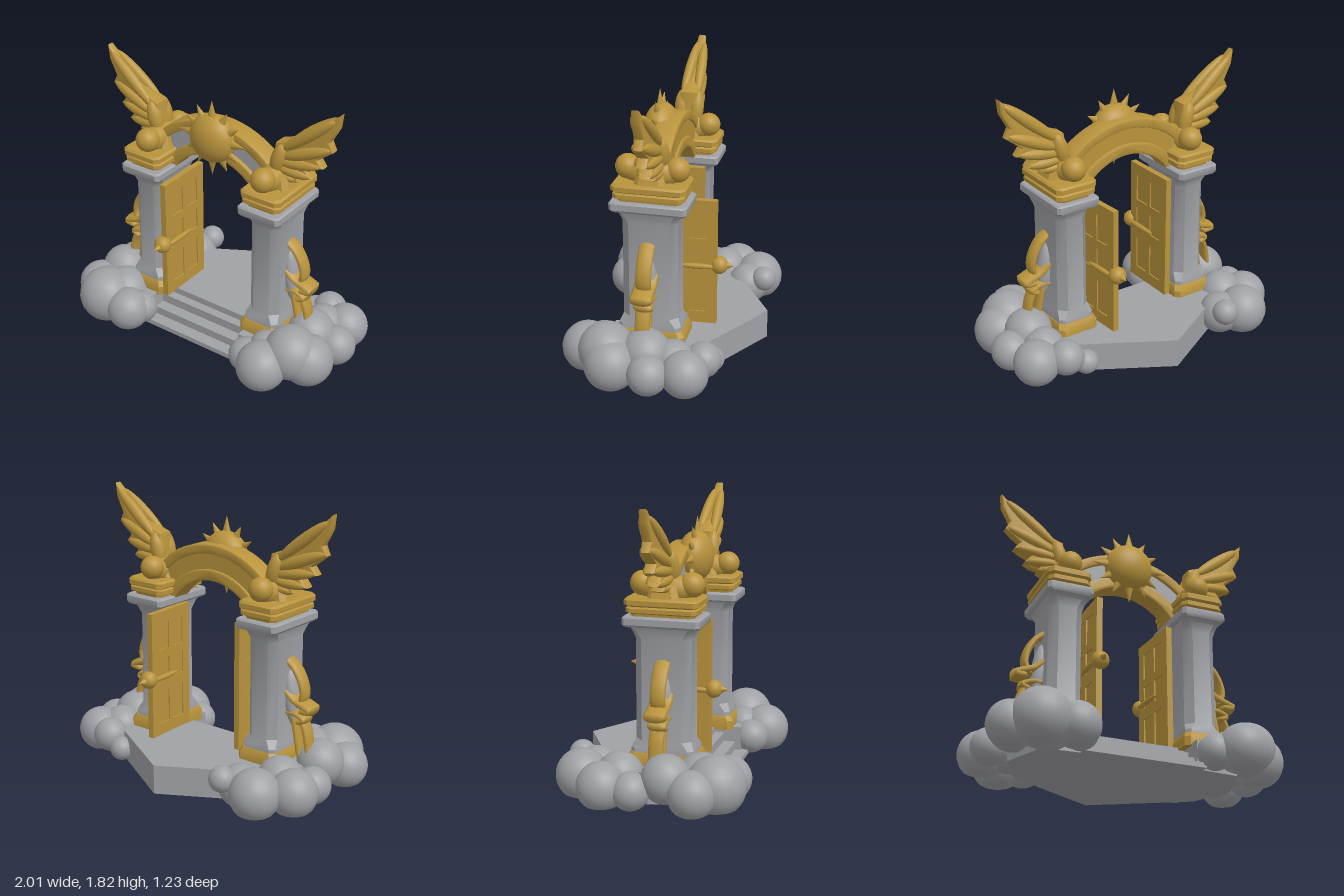
import * as THREE from 'three';
import { toCreasedNormals } from 'three/addons/utils/BufferGeometryUtils.js';

const stone = new THREE.MeshStandardMaterial({ color: 0xa0a1a5 });
stone.name = 'stone grey';
const gold = new THREE.MeshStandardMaterial({ color: 0xb8933c });
gold.name = 'gold';

const CX = -0.02; // mirror axis of the gate

function add(parent, name, geo, mat, x = 0, y = 0, z = 0) {
  const m = new THREE.Mesh(geo, mat);
  m.name = name;
  m.position.set(x, y, z);
  parent.add(m);
  return m;
}

// Stack of chamfered rectangles; each ring is [halfWidth, halfDepth, y, chamfer]
function stack(rings) {
  const pos = [], idx = [], n = 8;
  for (const [w, d, y, c] of rings) {
    for (const [x, z] of [[w, d - c], [w, c - d], [w - c, -d], [c - w, -d], [-w, c - d], [-w, d - c], [c - w, d], [w - c, d]]) pos.push(x, y, z);
  }
  for (let r = 0; r < rings.length - 1; r++) {
    for (let i = 0; i < n; i++) {
      const a = r * n + i, b = r * n + (i + 1) % n;
      idx.push(a, b, b + n, a, b + n, a + n);
    }
  }
  const t = (rings.length - 1) * n;
  for (let i = 1; i < n - 1; i++) idx.push(0, i + 1, i, t, t + i, t + i + 1);
  const g = new THREE.BufferGeometry();
  g.setAttribute('position', new THREE.Float32BufferAttribute(pos, 3));
  g.setIndex(idx);
  return toCreasedNormals(g, 0.6);
}

// Ellipsoid stretched between two points
function blob(parent, name, mat, a, b, rx, rz) {
  const A = new THREE.Vector3(...a), B = new THREE.Vector3(...b);
  const mid = A.clone().add(B).multiplyScalar(0.5), dir = B.clone().sub(A);
  const m = add(parent, name, new THREE.SphereGeometry(1, 16, 12), mat, mid.x, mid.y, mid.z);
  m.scale.set(rx, dir.length() / 2, rz);
  m.quaternion.setFromUnitVectors(new THREE.Vector3(0, 1, 0), dir.normalize());
  return m;
}

// Ring sector for the arch, centred on the origin
function sector(r0, r1, a0, depth, bevel) {
  const s = new THREE.Shape();
  s.absarc(0, 0, r1, a0, Math.PI - a0, false);
  s.absarc(0, 0, r0, Math.PI - a0, a0, true);
  return toCreasedNormals(new THREE.ExtrudeGeometry(s, {
    depth, curveSegments: 36, bevelEnabled: bevel > 0, bevelSize: bevel, bevelThickness: bevel, bevelOffset: -bevel, bevelSegments: 2,
  }), 0.6);
}

function extrudeUp(points, y0, y1) {
  const s = new THREE.Shape(points.map(([x, z]) => new THREE.Vector2(x, -z)));
  const g = new THREE.ExtrudeGeometry(s, { depth: y1 - y0, bevelEnabled: false });
  return g.rotateX(-Math.PI / 2).translate(0, y0, 0);
}

function buildFloor(g) {
  add(g, 'platform', extrudeUp([[0, -0.625], [0.62, -0.27], [0.75, 0.0], [0.64, 0.3], [0.36, 0.32], [0.36, 0.14],
    [-0.36, 0.14], [-0.36, 0.32], [-0.64, 0.3], [-0.75, 0], [-0.62, -0.27]], 0.012, 0.205), stone, CX);
  // front steps
  for (const [y, z] of [[0.16, 0.2], [0.1, 0.28], [0.045, 0.365]]) {
    add(g, 'step', new THREE.BoxGeometry(0.8, y - 0.012, z), stone, CX, (y + 0.012) / 2, z / 2);
  }
}

function buildClouds(g) {
  // x, y, z, radius
  const puffs = [
    [-0.69, 0.14, -0.45, 0.165], [-0.85, 0.13, -0.27, 0.155], [-0.49, 0.21, -0.52, 0.085], [-0.54, 0.14, -0.4, 0.14],
    [-0.86, 0.12, -0.08, 0.12], [-0.85, 0.13, 0.3, 0.15], [-0.7, 0.15, 0.41, 0.19], [-0.49, 0.13, 0.44, 0.145],
    [-0.78, 0.19, 0.12, 0.155], [-0.62, 0.16, 0.3, 0.16], [-0.44, 0.12, 0.36, 0.11], [-0.7, 0.16, -0.2, 0.15],
    [0.64, 0.16, -0.33, 0.115], [0.81, 0.14, -0.25, 0.15], [0.87, 0.14, -0.03, 0.13], [0.81, 0.15, 0.22, 0.17],
    [0.6, 0.14, 0.43, 0.165], [0.44, 0.12, 0.37, 0.115], [0.72, 0.2, 0.27, 0.18], [0.71, 0.2, 0.02, 0.16],
    [0.51, 0.1, -0.36, 0.08], [0.7, 0.16, -0.15, 0.14], [0.55, 0.17, 0.29, 0.12],
  ];
  for (const [x, y, z, r] of puffs) {
    const geo = new THREE.SphereGeometry(r, 24, 16);
    const p = geo.attributes.position;
    for (let i = 0; i < p.count; i++) p.setY(i, Math.max(p.getY(i), 0.01 - y)); // flat underside
    add(g, 'cloudPuff', geo, stone, x, y, z);
  }
}

function buildPillar(g, s) {
  const p = new THREE.Group();
  p.name = s < 0 ? 'rightPillar' : 'leftPillar';
  p.position.set(CX + s * 0.463, 0, 0.037);
  g.add(p);
  add(p, 'pillarFoot', stack([[0.145, 0.225, 0.19, 0.03], [0.145, 0.225, 0.25, 0.03], [0.13, 0.205, 0.285, 0.03]]), gold);
  add(p, 'pillarShaft', stack([[0.125, 0.2, 0.27, 0.03], [0.125, 0.2, 0.31, 0.03], [0.11, 0.178, 0.36, 0.05],
    [0.11, 0.178, 1.0, 0.05], [0.125, 0.2, 1.06, 0.04], [0.135, 0.225, 1.085, 0.025]]), stone);
  add(p, 'capital', stack([[0.14, 0.235, 1.075, 0.02], [0.153, 0.245, 1.09, 0.02], [0.153, 0.245, 1.13, 0.02], [0.145, 0.235, 1.14, 0.02]]), stone);
  add(p, 'goldCap', stack([[0.115, 0.2, 1.135, 0.03], [0.118, 0.205, 1.155, 0.03], [0.142, 0.225, 1.165, 0.03], [0.142, 0.225, 1.19, 0.03],
    [0.13, 0.215, 1.2, 0.03], [0.146, 0.235, 1.21, 0.03], [0.146, 0.235, 1.24, 0.03], [0.135, 0.222, 1.253, 0.03]]), gold);
  // scroll ends on the cap
  for (const z of [0.16, -0.155]) add(p, 'scrollEnd', new THREE.SphereGeometry(0.078, 20, 14), gold, -s * 0.015, 1.325, z);
  blob(p, 'scrollBody', gold, [-s * 0.01, 1.3, -0.2], [-s * 0.01, 1.3, 0.2], 0.085, 0.09);
  add(p, 'wingMount', stack([[0.12, 0.1, 1.24, 0.03], [0.09, 0.08, 1.33, 0.03]]), gold);
}

function buildWing(g, s) {
  const w = new THREE.Group();
  w.name = s < 0 ? 'rightWing' : 'leftWing';
  w.position.set(CX, 0, 0.025);
  g.add(w);
  const outline = [[0.44, 1.43], [0.455, 1.535], [0.6, 1.59], [0.72, 1.67], [0.8, 1.75], [0.88, 1.825], [0.87, 1.73], [0.815, 1.63], [0.845, 1.57],
    [0.74, 1.49], [0.78, 1.44], [0.66, 1.41], [0.71, 1.35], [0.59, 1.36], [0.62, 1.305], [0.5, 1.27], [0.42, 1.3]];
  const shape = new THREE.Shape(outline.map(([x, y]) => new THREE.Vector2(s * x, y)));
  const geo = new THREE.ExtrudeGeometry(shape, { depth: 0.07, bevelSize: 0.018, bevelOffset: -0.018, bevelThickness: 0.02, bevelSegments: 2 });
  geo.translate(0, 0, -0.035);
  const p = geo.attributes.position;
  for (let i = 0; i < p.count; i++) { // thin towards the tip
    const t = Math.min(1, Math.max(0, (Math.abs(p.getX(i)) - 0.46) / 0.42));
    p.setZ(i, p.getZ(i) * (1.1 - 0.6 * t));
  }
  add(w, 'wingBlade', toCreasedNormals(geo, 0.7), gold);
  // feathers raised on both faces, with the arm along the leading edge
  const feathers = [[0.5, 1.5, 0.85, 1.78, 0.04], [0.5, 1.45, 0.83, 1.585, 0.04], [0.48, 1.41, 0.765, 1.45, 0.036],
    [0.47, 1.37, 0.7, 1.36, 0.034], [0.45, 1.33, 0.61, 1.31, 0.03]];
  for (const z of [1, -1]) {
    for (const [x0, y0, x1, y1, r] of feathers) blob(w, 'feather', gold, [s * x0, y0, z * 0.05], [s * x1, y1, z * 0.025], r, 0.035);
    blob(w, 'wingArm', gold, [s * 0.45, 1.32, z * 0.05], [s * 0.51, 1.54, z * 0.05], 0.05, 0.05);
  }
}

function buildArch(g) {
  const a = new THREE.Group();
  a.name = 'arch';
  a.position.set(CX, 0.91, 0);
  g.add(a);
  add(a, 'archBody', sector(0.39, 0.61, 0.55, 0.1, 0), gold, 0, 0, -0.04);
  add(a, 'archPanel', sector(0.455, 0.555, 0.56, 0.006, 0), stone, 0, 0, 0.058);
  for (const [r0, r1] of [[0.38, 0.455], [0.555, 0.62]]) add(a, 'archRim', sector(r0, r1, 0.55, 0.12, 0.012), gold, 0, 0, -0.042);

  const sun = new THREE.Group();
  sun.name = 'sun';
  sun.position.set(CX, 1.435, 0.095);
  g.add(sun);
  add(sun, 'sunDisc', new THREE.SphereGeometry(0.163, 32, 20), gold).scale.z = 0.7;
  for (let i = 0; i < 12; i++) {
    const ang = i * Math.PI / 6, len = i % 3 === 0 ? 0.15 : 0.125;
    const ray = add(sun, 'sunRay', new THREE.ConeGeometry(0.042, len, 10), gold, -Math.sin(ang) * (0.11 + len / 2), Math.cos(ang) * (0.11 + len / 2), 0.01);
    ray.rotation.z = ang;
    ray.scale.z = 0.75;
  }
}

// Door leaf lying along z; the handle is on its swinging edge
function buildDoor(g, name, x, zHinge, zEdge, turn) {
  const d = new THREE.Group(), width = Math.abs(zEdge - zHinge), dir = Math.sign(zEdge - zHinge);
  d.name = name;
  d.position.set(x, 0, (zHinge + zEdge) / 2);
  d.rotation.y = turn;
  g.add(d);
  add(d, 'doorLeaf', new THREE.BoxGeometry(0.022, 0.83, width - 0.02), gold, 0, 0.655, 0);
  for (const z of [-1, 0, 1]) add(d, 'doorStile', new THREE.BoxGeometry(0.04, 0.85, z ? 0.07 : 0.04), gold, 0, 0.655, z * (width / 2 - 0.035));
  for (const [y, h] of [[0.27, 0.08], [0.57, 0.08], [0.79, 0.06], [1.04, 0.08]]) add(d, 'doorRail', new THREE.BoxGeometry(0.04, h, width), gold, 0, y, 0);
  // handle: bar on both faces, with a pointed knob
  for (const s of [1, -1]) blob(d, 'handleBar', gold, [s * 0.03, 0.635, -dir * width * 0.15], [s * 0.03, 0.635, dir * width * 0.55], 0.018, 0.018);
  const e = dir * width / 2;
  blob(d, 'knob', gold, [0, 0.64, e - dir * 0.04], [0, 0.64, e + dir * 0.07], 0.058, 0.058);
  const tip = add(d, 'knobTip', new THREE.ConeGeometry(0.045, 0.09, 14), gold, 0, 0.64, e + dir * 0.065);
  tip.rotation.x = dir * Math.PI / 2;
}

function buildRibbon(g, s) {
  const r = new THREE.Group();
  r.name = s < 0 ? 'rightRibbon' : 'leftRibbon';
  r.position.set(CX, 0, 0.045);
  g.add(r);
  // flat bands swept along curves in the x-y plane: radius, half-width ratio, points
  const bands = [
    [0.024, 2.1, [[0.56, 0.86], [0.62, 0.81], [0.67, 0.72], [0.68, 0.64], [0.65, 0.58]]],
    [0.028, 2.6, [[0.57, 0.66], [0.63, 0.61], [0.71, 0.58], [0.75, 0.56], [0.69, 0.55]]],
    [0.022, 2.8, [[0.58, 0.52], [0.64, 0.52], [0.7, 0.49], [0.66, 0.47]]],
    [0.022, 2.0, [[0.61, 0.5], [0.63, 0.4], [0.66, 0.25]]],
    [0.022, 2.2, [[0.68, 0.48], [0.71, 0.4], [0.73, 0.28]]],
  ];
  for (const [rad, wide, pts] of bands) {
    const curve = new THREE.CatmullRomCurve3(pts.map(([x, y]) => new THREE.Vector3(s * x, y, 0)));
    const band = add(r, 'ribbonBand', new THREE.TubeGeometry(curve, 24, rad, 10), gold);
    band.scale.z = wide;
    for (const [x, y] of [pts[0], pts[pts.length - 1]]) add(r, 'ribbonEnd', new THREE.SphereGeometry(rad, 10, 8), gold, s * x, y).scale.z = wide;
  }
  blob(r, 'ribbonBracket', stone, [s * 0.56, 0.8, 0], [s * 0.61, 0.42, 0], 0.05, 0.06);
}

export function createModel() {
  const g = new THREE.Group();
  g.name = 'cloudGate';
  buildFloor(g);
  buildClouds(g);
  for (const s of [1, -1]) {
    buildPillar(g, s);
    buildWing(g, s);
    buildRibbon(g, s);
  }
  buildArch(g);
  buildDoor(g, 'rightDoor', -0.293, -0.13, 0.275, 0);
  buildDoor(g, 'leftDoor', 0.275, 0.06, -0.335, 0.06);
  return g;
}
